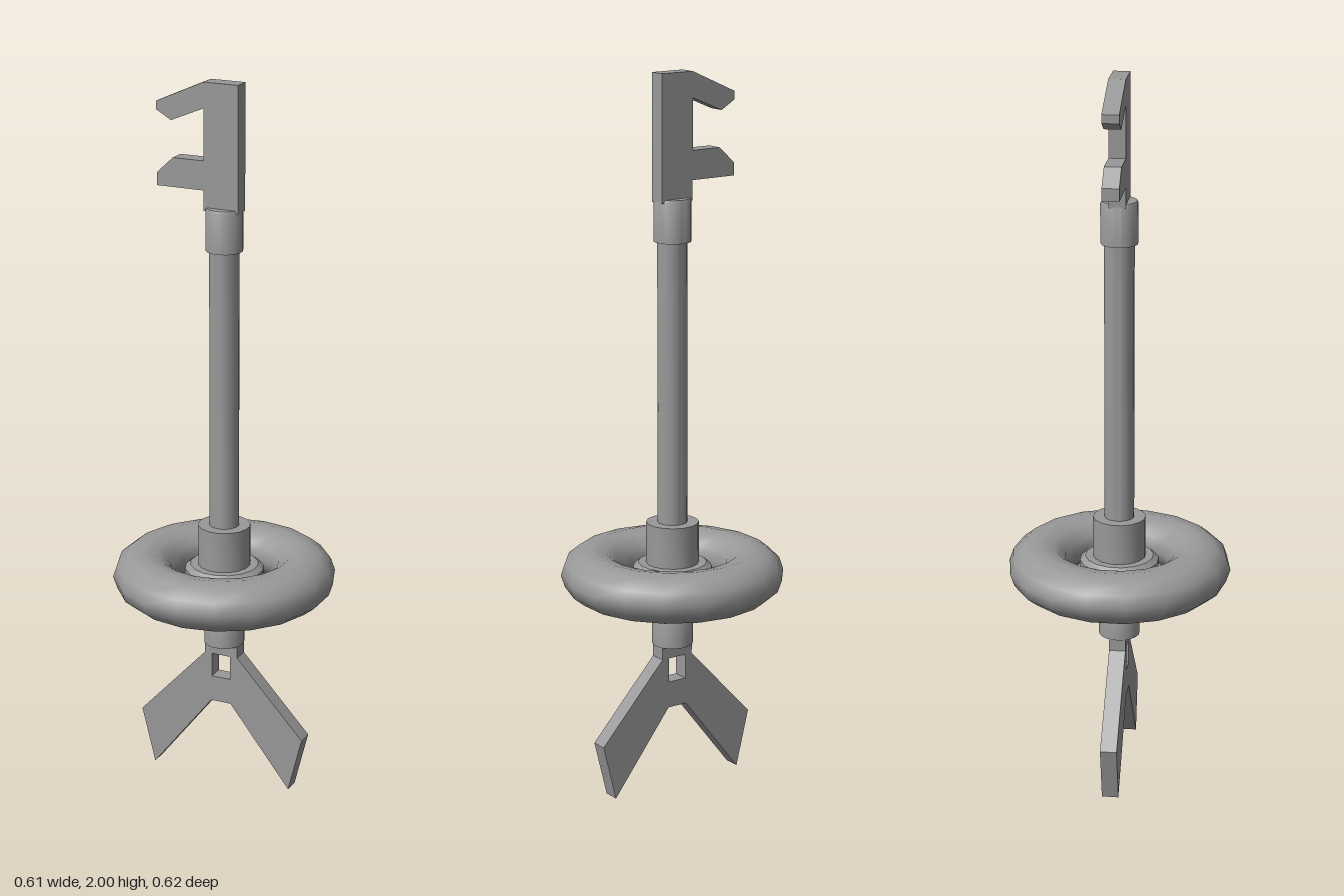
import * as THREE from 'three';
import { toCreasedNormals } from 'three/addons/utils/BufferGeometryUtils.js';

const material = new THREE.MeshStandardMaterial({ color: 0x999999 });
const THICKNESS = 0.046;

export function createModel() {
  const group = new THREE.Group();

  const add = (name, geometry) => {
    const mesh = new THREE.Mesh(geometry, material);
    mesh.name = name;
    group.add(mesh);
    return mesh;
  };

  // Turned part from [radius, y] pairs, listed bottom to top
  const turned = (name, profile, sides = 16) => {
    const points = profile.map(([r, y]) => new THREE.Vector2(r, y));
    const lathe = new THREE.LatheGeometry(points, sides, Math.PI / sides);
    return add(name, toCreasedNormals(lathe, 0.6));
  };

  // Flat plate cut from an outline, centred on z = 0
  const plate = (name, outline, hole) => {
    const toPoints = (list) => list.map(([x, y]) => new THREE.Vector2(x, y));
    const shape = new THREE.Shape(toPoints(outline));
    if (hole) shape.holes.push(new THREE.Path(toPoints(hole)));
    const geometry = new THREE.ExtrudeGeometry(shape, { depth: THICKNESS, bevelEnabled: false });
    geometry.translate(0, 0, -THICKNESS / 2);
    return add(name, geometry);
  };

  // Long shaft and its collars
  turned('shaft', [[0, 0.42], [0.041, 0.42], [0.041, 1.6], [0, 1.6]]);
  turned('topCollar', [[0, 1.547], [0.051, 1.547], [0.051, 1.658], [0.048, 1.664], [0, 1.664]]);
  turned('bottomCollar', [[0, 0.41], [0.057, 0.41], [0.057, 0.522], [0.053, 0.53], [0, 0.53]]);
  turned('hubCollar', [[0, 0.63], [0.073, 0.63], [0.073, 0.763], [0, 0.763]]);

  // Bevelled hub disc floating inside the ring
  turned('hubDisc', [
    [0, 0.565], [0.075, 0.565], [0.11, 0.592], [0.11, 0.635], [0.095, 0.647], [0, 0.647],
  ]);

  // Fat ring, slightly squashed in height
  const ring = new THREE.TorusGeometry(0.225, 0.085, 12, 18);
  ring.rotateZ(Math.PI / 2);
  ring.rotateX(Math.PI / 2);
  ring.scale(1, 0.81, 1);
  ring.translate(0, 0.616, 0);
  add('ring', ring);

  // Hooked bit at the top
  plate('hookedBit', [
    [0.05, 1.655], [0.05, 2], [-0.05, 2], [-0.188, 1.938], [-0.188, 1.915], [-0.145, 1.89],
    [-0.05, 1.93], [-0.05, 1.79], [-0.14, 1.79], [-0.188, 1.745], [-0.188, 1.71],
    [-0.05, 1.71], [-0.05, 1.655],
  ]);

  // Forked tail, one half mirrored to the other side
  const half = [[0.03, 0.23], [0.21, 0], [0.25, 0.16], [0.05, 0.375], [0.05, 0.42]];
  const mirrored = half.map(([x, y]) => [-x, y]).reverse();
  plate('forkedTail', [...half, ...mirrored],
    [[-0.028, 0.305], [-0.028, 0.375], [0.028, 0.375], [0.028, 0.305]]);

  return group;
}
